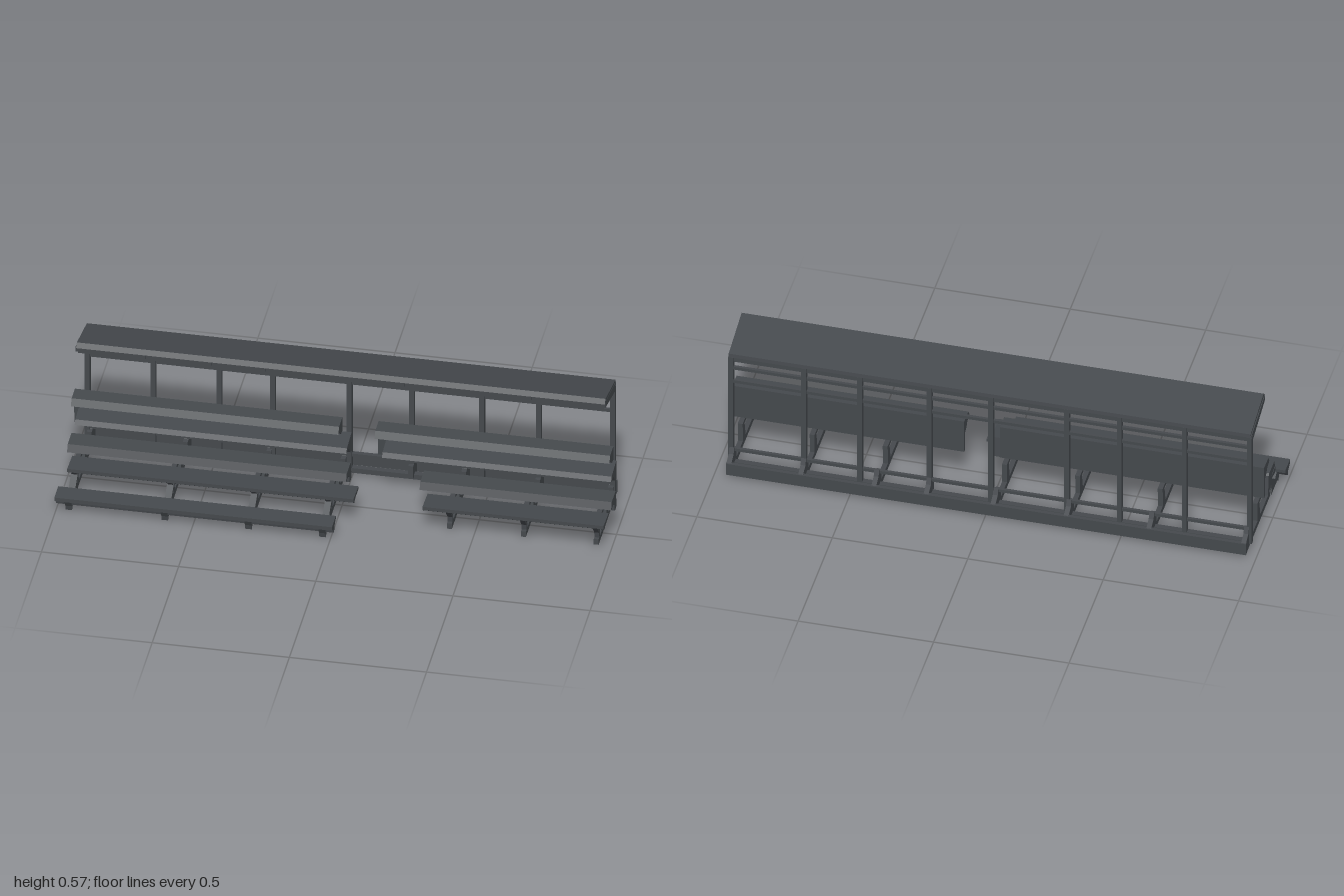
import * as THREE from 'three';

export function createModel() {
  const model = new THREE.Group();
  model.name = 'shelteredStand';
  const steel = new THREE.MeshStandardMaterial({ color: 0x45494d });
  steel.name = 'darkSlate';

  const add = (name, geometry) => {
    const mesh = new THREE.Mesh(geometry, steel);
    mesh.name = name;
    model.add(mesh);
    return mesh;
  };
  // Axis-aligned bar from its limits
  const bar = (name, x0, x1, y0, y1, z0, z1) => {
    const g = new THREE.BoxGeometry(x1 - x0, y1 - y0, z1 - z0);
    g.translate((x0 + x1) / 2, (y0 + y1) / 2, (z0 + z1) / 2);
    return add(name, g);
  };
  // Side profile of [z, y] points, carried along x
  const profile = (name, x0, x1, points) => {
    const shape = new THREE.Shape(points.map(([z, y]) => new THREE.Vector2(z, y)));
    const g = new THREE.ExtrudeGeometry(shape, { depth: x1 - x0, bevelEnabled: false });
    g.rotateY(-Math.PI / 2);
    g.translate(x1, 0, 0);
    return add(name, g);
  };

  // Rear posts, each with a sloping roof arm
  const posts = [-0.965, -0.725, -0.485, -0.29, -0.01, 0.217, 0.473, 0.68, 0.95];
  for (const x of posts) {
    bar('post', x - 0.009, x + 0.009, 0.03, 0.51, -0.206, -0.185);
    profile('roofArm', x - 0.008, x + 0.008,
      [[-0.205, 0.487], [-0.185, 0.487], [-0.005, 0.535], [-0.005, 0.556], [-0.205, 0.518]]);
  }

  // Roof panel, front lip and lengthwise purlins
  profile('roofPanel', -0.97, 0.957,
    [[-0.207, 0.512], [0, 0.553], [-0.015, 0.568], [-0.205, 0.526]]);
  for (const z of [-0.195, -0.15, -0.105, -0.06, -0.015]) {
    const y = 0.548 + z * 0.21;
    bar('purlin', -0.965, 0.952, y - 0.018, y + 0.004, z - 0.005, z + 0.005);
  }

  // Rear rails and base beam
  for (const y of [0.46, 0.4]) bar('rearRail', -0.965, 0.95, y - 0.006, y + 0.006, -0.201, -0.19);
  bar('lowerRail', -0.965, 0.95, 0.085, 0.097, -0.201, -0.19);
  bar('postSill', -0.965, 0.95, 0.018, 0.038, -0.206, -0.185);
  bar('baseBeam', -0.965, 0.955, 0.015, 0.064, -0.255, -0.241);

  // Floor frames: ground beam, rear gusset, legs and step bearer
  const frame = (x, front) => {
    const a = x - 0.009, b = x + 0.009;
    bar('groundBeam', a, b, 0.015, 0.038, -0.25, front);
    profile('rearGusset', a, b,
      [[-0.25, 0.015], [-0.17, 0.03], [-0.17, 0.083], [-0.19, 0.083], [-0.206, 0.105], [-0.215, 0.08], [-0.25, 0.064]]);
  };
  const legs = (x) => {
    const a = x - 0.009, b = x + 0.009;
    profile('rearLeg', a, b, [[-0.08, 0.03], [-0.038, 0.03], [-0.056, 0.11], [-0.08, 0.115]]);
    profile('frontLeg', a, b,
      [[0.07, 0.02], [0.085, 0.02], [0.09, 0.06], [0.135, 0.113], [0.02, 0.108], [0.06, 0.09], [0.075, 0.06]]);
    bar('stepBearer', a, b, 0.102, 0.118, -0.083, 0.06);
  };
  for (const x of [-0.955, -0.605, -0.3, -0.03]) {
    frame(x, 0.19);
    legs(x);
    profile('frontBracket', x - 0.012, x + 0.012,
      [[0.1, 0.015], [0.2, 0.015], [0.215, 0], [0.22, 0.02], [0.24, 0.055], [0.19, 0.06], [0.165, 0.045],
        [0.11, 0.085], [0.1, 0.085], [0.115, 0.038]]);
  }
  for (const x of [0.41, 0.68, 0.945]) {
    frame(x, 0.1);
    legs(x);
  }
  frame(0.217, -0.19);

  // Stepped rows, from the front step up to the back row
  const frontStep = [[0.255, 0.073], [0.183, 0.075], [0.183, 0.063], [0.2, 0.055], [0.215, 0.03],
    [0.222, 0.028], [0.225, 0.045], [0.255, 0.058]];
  const lowStep = [[0.142, 0.126], [0.045, 0.119], [0.045, 0.108], [0.1, 0.108], [0.125, 0.1], [0.142, 0.112]];
  const midRow = [[0.08, 0.191], [0.008, 0.192], [0, 0.185], [-0.01, 0.117], [0.015, 0.113], [0.03, 0.122],
    [0.03, 0.145], [0.05, 0.16], [0.093, 0.164]];
  const highStep = [[-0.012, 0.238], [-0.1, 0.25], [-0.105, 0.168], [-0.075, 0.18], [-0.06, 0.2],
    [-0.045, 0.214], [0, 0.222]];
  const backRow = [[-0.046, 0.304], [-0.108, 0.305], [-0.108, 0.168], [-0.098, 0.168], [-0.094, 0.245],
    [-0.075, 0.255], [-0.06, 0.272], [-0.03, 0.28]];

  profile('frontStep', -1, 0.012, frontStep);
  profile('leftLowStep', -0.975, 0.068, lowStep);
  profile('leftMidRow', -0.985, 0.032, midRow);
  profile('leftHighStep', -0.975, 0.015, highStep);
  profile('leftBackRow', -0.995, -0.02, backRow);

  profile('rightLowStep', 0.32, 0.98, lowStep);
  profile('rightMidRow', 0.3, 0.998, midRow);
  profile('rightHighStep', 0.145, 0.98, highStep);
  profile('rightBackRow', 0.112, 0.968, backRow);

  return model;
}
